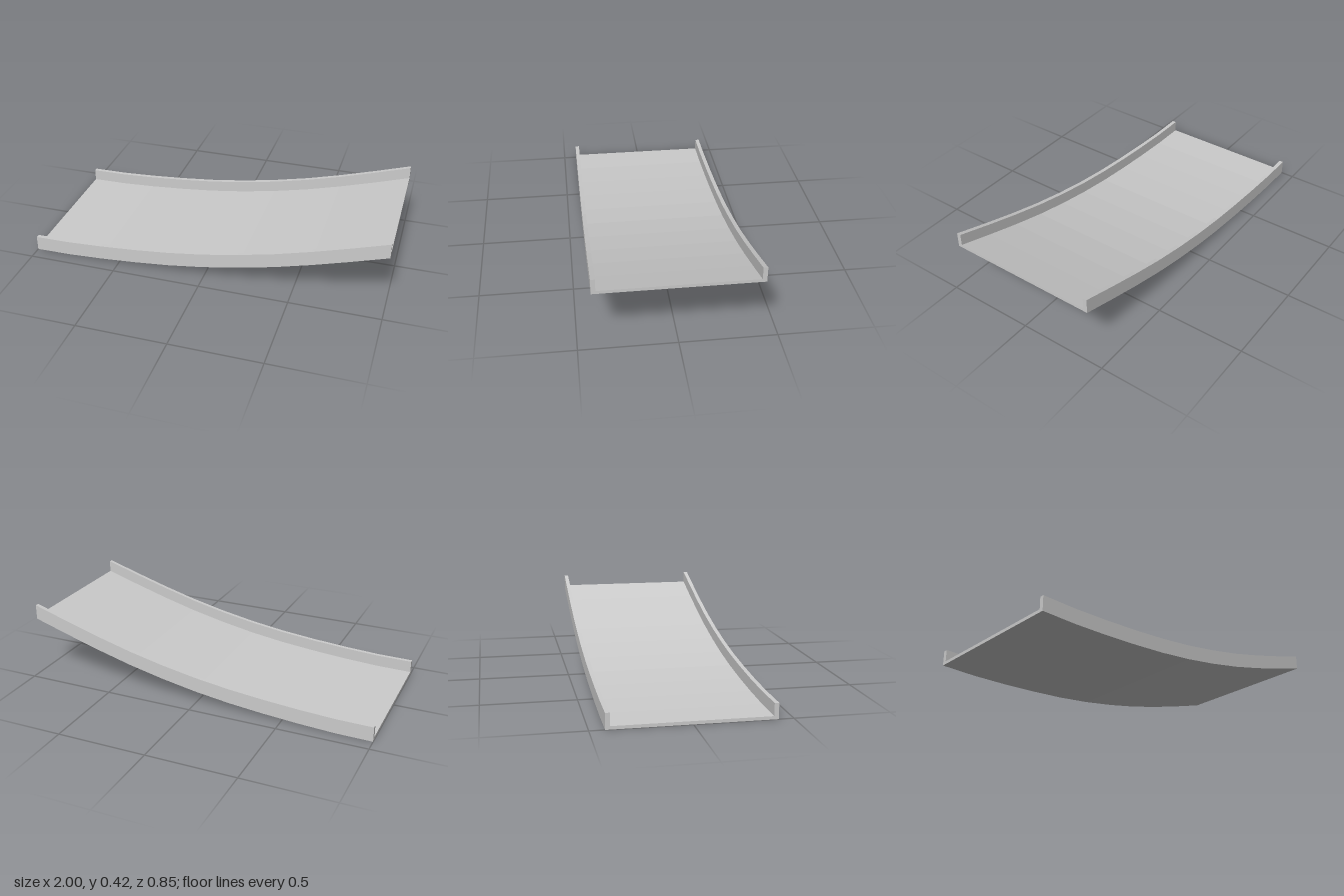
import * as THREE from 'three';

// Underside height at ten equal steps along x
const RISE = [0.001, 0.003, 0.013, 0.028, 0.048, 0.076, 0.113, 0.158, 0.212, 0.272, 0.335];
const HALF_WIDTH = 0.423;
const RAIL_WIDTH = 0.023;
const DECK_THICKNESS = 0.017;
const RAIL_HEIGHT = 0.083;

const material = new THREE.MeshStandardMaterial({ color: 0xcccccc, flatShading: true });

// Curved strip of constant vertical height, extruded from z0 to z1
function curvedStrip(name, height, z0, z1) {
  const under = RISE.map((y, i) => new THREE.Vector2(-1 + (2 * i) / (RISE.length - 1), y));
  const over = under.map((p) => new THREE.Vector2(p.x, p.y + height)).reverse();
  const geometry = new THREE.ExtrudeGeometry(new THREE.Shape([...under, ...over]), {
    depth: z1 - z0,
    bevelEnabled: false,
  });
  geometry.translate(0, 0, z0);
  const mesh = new THREE.Mesh(geometry, material);
  mesh.name = name;
  return mesh;
}

export function createModel() {
  const model = new THREE.Group();
  model.name = 'curvedRamp';
  const inner = HALF_WIDTH - RAIL_WIDTH;

  // Thin deck between two upright side rails
  model.add(
    curvedStrip('deck', DECK_THICKNESS, -inner, inner),
    curvedStrip('frontRail', RAIL_HEIGHT, inner, HALF_WIDTH),
    curvedStrip('backRail', RAIL_HEIGHT, -HALF_WIDTH, -inner),
  );
  return model;
}
